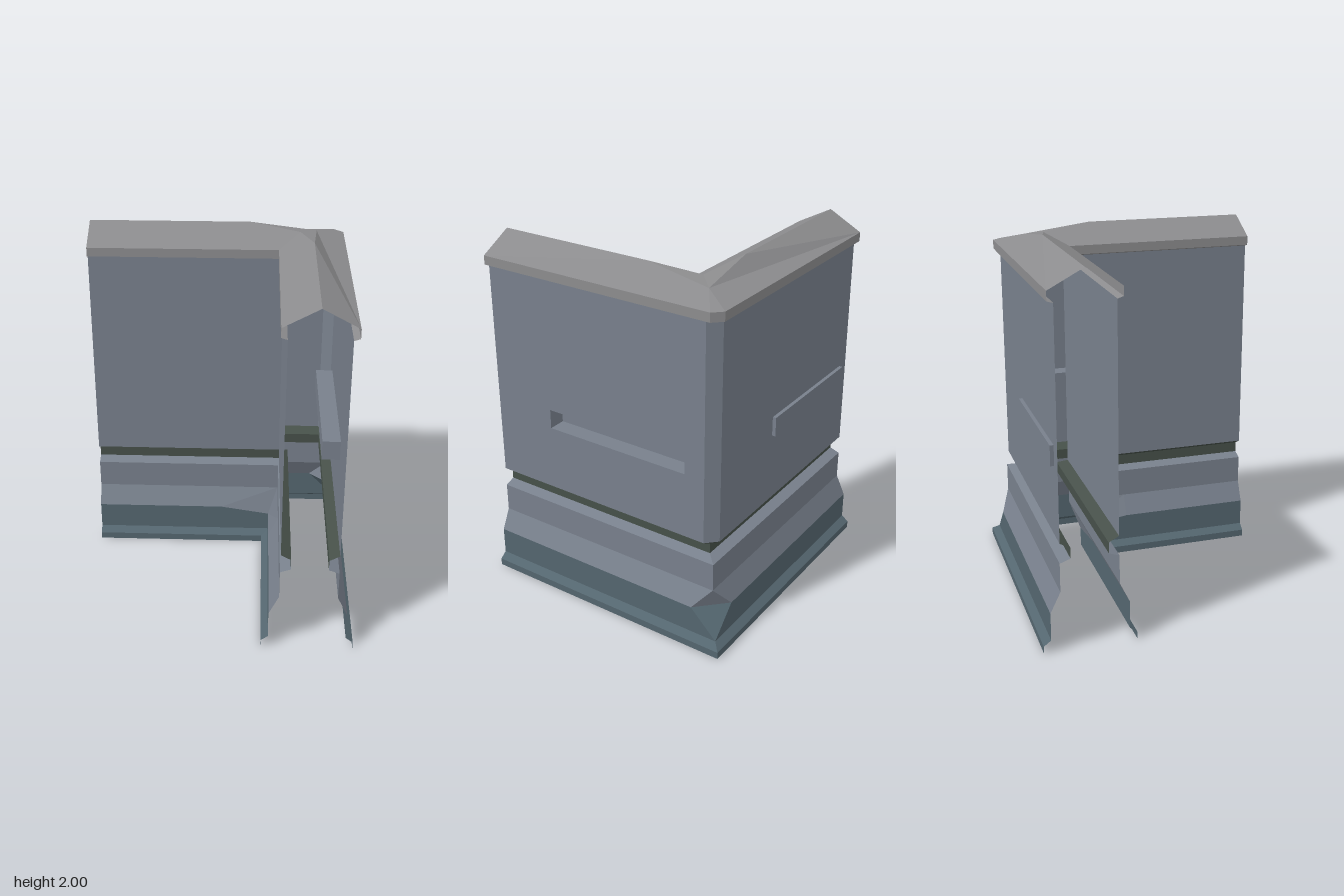
import * as THREE from 'three';

const C = 0.503;      // centre line of each arm, measured from the origin
const END = 0.755;    // open end of each arm

const mat = (color) => new THREE.MeshStandardMaterial({ color, flatShading: true, side: THREE.DoubleSide });
const capMat = mat(0x8c8c8e), wallMat = mat(0x78808c), baseMat = mat(0x54666f), grooveMat = mat(0x465049);

// Flat polygons, each a loop of [x, y, z] corners, as triangle fans
function polygons(loops) {
  const pos = [];
  for (const p of loops)
    for (let i = 1; i < p.length - 1; i++) pos.push(...p[0], ...p[i], ...p[i + 1]);
  const g = new THREE.BufferGeometry();
  g.setAttribute('position', new THREE.Float32BufferAttribute(pos, 3));
  g.computeVertexNormals();
  return g;
}

// Outer contour of the corner at height y, half width d, with a chamfered corner
function outerRow([y, d, chamfer = 0]) {
  const o = C + d;
  return [[o, y, END], [o, y, -o + chamfer], [o - chamfer, y, -o], [-END, y, -o]];
}

// Inner contour; drop lowers the corner point only
function innerRow([y, d, , drop = 0]) {
  const n = C - d;
  return [[-END, y, -n], [0, y, -n], [n, y - drop, -n], [n, y, 0], [n, y, END]];
}

// Bands between successive contours
function bands(rows) {
  const loops = [];
  for (let r = 0; r < rows.length - 1; r++) {
    const a = rows[r], b = rows[r + 1];
    for (let i = 0; i < a.length - 1; i++) {
      loops.push([a[i], a[i + 1], b[i + 1]], [a[i], b[i + 1], b[i]]);
    }
  }
  return polygons(loops);
}

export function createModel() {
  const group = new THREE.Group();
  const add = (name, geometry, material) => {
    const m = new THREE.Mesh(geometry, material);
    m.name = name;
    group.add(m);
  };
  const bothSides = (name, profile, material) => {
    add(name + 'Outer', bands(profile.map(outerRow)), material);
    add(name + 'Inner', bands(profile.map(innerRow)), material);
  };

  // Stepped footing, plinth and recessed groove: [y, half width, outer chamfer, inner drop]
  bothSides('footing', [[0, 0.252], [0.04, 0.252], [0.07, 0.212], [0.225, 0.212, 0.155, 0.045]], baseMat);
  bothSides('plinth', [[0.225, 0.212, 0.155, 0.045], [0.34, 0.157], [0.5, 0.157], [0.52, 0.1]], wallMat);
  bothSides('groove', [[0.52, 0.1], [0.58, 0.1], [0.61, 0.155, 0.06]], grooveMat);

  // Wall: inner faces, then the outer back face with its chamfered corner
  const wall = [[0.61, 0.155, 0.06], [1.84, 0.155, 0.06]];
  const wx = C + 0.155;
  add('wallInner', bands(wall.map(innerRow)), wallMat);
  add('wallBack', bands(wall.map((p) => outerRow(p).slice(1))), wallMat);

  // Right wall with a long slot cut into it
  const z0 = -0.48, z1 = 0.39, y0 = 0.98, y1 = 1.09, sx = 0.56;
  const panel = new THREE.Shape([[-END, 0.61], [wx - 0.06, 0.61], [wx - 0.06, 1.84], [-END, 1.84]]
    .map((p) => new THREE.Vector2(...p)));
  panel.holes.push(new THREE.Path([[-z1, y0], [-z1, y1], [-z0, y1], [-z0, y0]]
    .map((p) => new THREE.Vector2(...p))));
  add('wallRight', new THREE.ShapeGeometry(panel).rotateY(Math.PI / 2).translate(wx, 0, 0), wallMat);
  const rim = (x) => [[x, y0, z0], [x, y1, z0], [x, y1, z1], [x, y0, z1], [x, y0, z0]];
  add('slotSides', bands([rim(sx), rim(wx)]), wallMat);
  add('slotBack', polygons([rim(sx).slice(0, 4)]), wallMat);

  // Raised bar on the back wall
  add('backBar', new THREE.BoxGeometry(0.77, 0.11, 0.03).translate(-0.295, 1.055, -0.663), wallMat);

  // Cap edge: underside and fascia
  bothSides('capEdge', [[1.84, 0.155, 0.06], [1.85, 0.187, 0.05], [1.9, 0.187, 0.05]], capMat);

  // Cap roof: two gabled arms whose ridges dip towards the corner
  const [o3, o2, o1, o0] = outerRow([1.9, 0.187, 0.05]);
  const [i0, , ic, , i3] = innerRow([1.9, 0.187]);
  const a = [-END, 2, -C], b = [0.155, 2, -C], d = [C, 2, -0.155], e = [C, 2, END];
  const valley = [0.437, 1.965, -0.437], hip = [0.53, 1.945, -0.53];
  add('capRoof', polygons([
    [i0, ic, valley, b, a], [valley, ic, i3, e, d],
    [o0, a, b, hip, o1], [o3, o2, hip, d, e],
    [o1, hip, o2], [b, valley, hip], [valley, d, hip],
  ]), capMat);

  return group;
}
